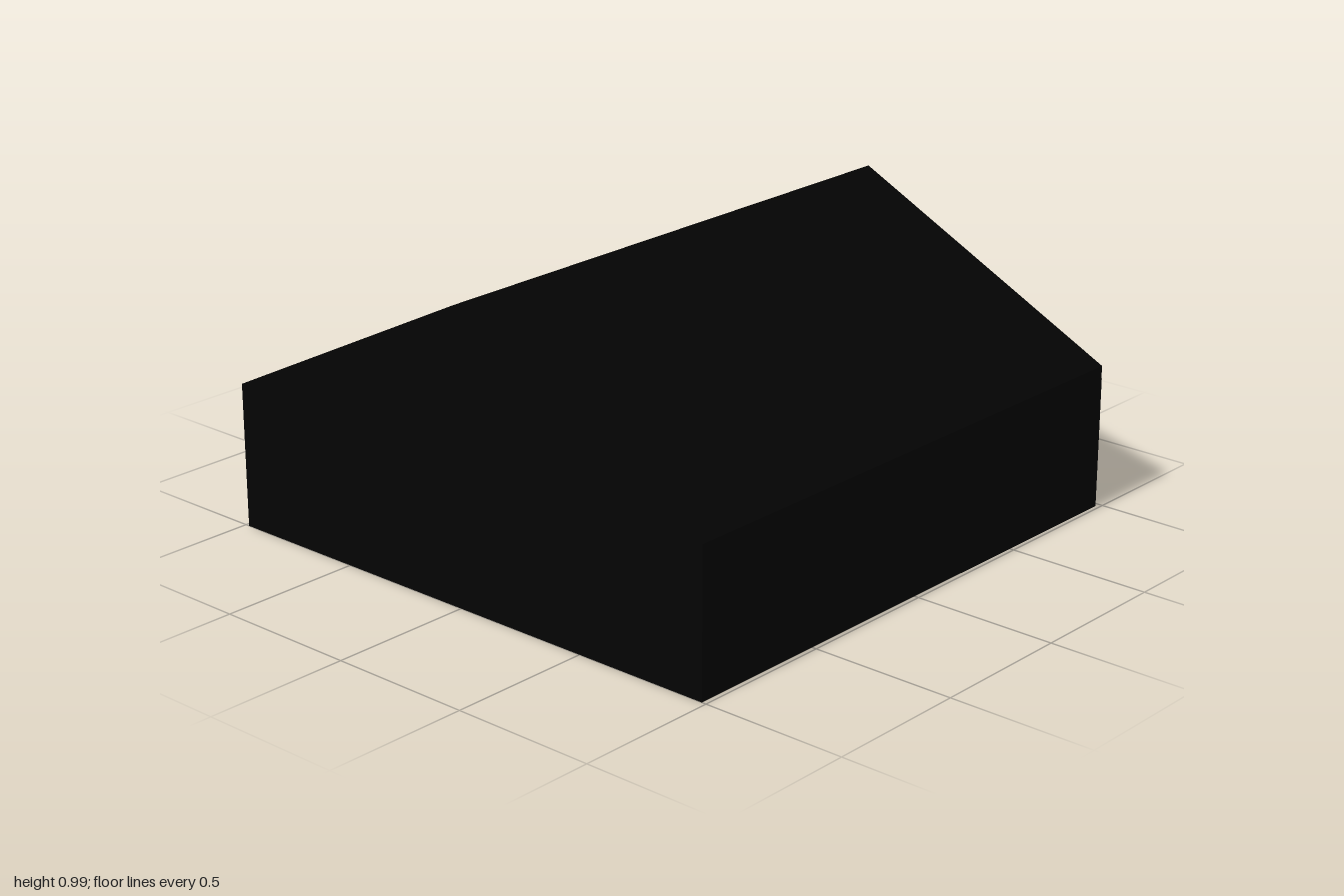
import * as THREE from 'three';

const W = 0.985, EAVE = 0.495, RIDGE = 0.985, FRONT = 1, BACK = -0.98;
const INNER = 0.865; // half width of the inner room

export function createModel() {
  const model = new THREE.Group();
  const canvas = new THREE.MeshStandardMaterial({ color: 0x030303, side: THREE.DoubleSide });
  canvas.name = 'black canvas';

  function add(name, geometry, x = 0, y = 0, z = 0) {
    const mesh = new THREE.Mesh(geometry, canvas);
    mesh.name = name;
    mesh.position.set(x, y, z);
    model.add(mesh);
    return mesh;
  }

  // Outer walls, inner walls and roof slopes, mirrored
  const depth = FRONT - BACK, midZ = (FRONT + BACK) / 2;
  const rise = RIDGE - EAVE, slope = Math.hypot(W, rise);
  for (const s of [1, -1]) {
    const side = s > 0 ? 'left' : 'right';
    const wall = new THREE.PlaneGeometry(depth, EAVE);
    wall.rotateY(s * Math.PI / 2);
    add(side + 'Wall', wall, s * W, EAVE / 2, midZ);
    add(side + 'InnerWall', wall, s * INNER, EAVE / 2, midZ);

    const roof = new THREE.PlaneGeometry(slope, depth);
    roof.rotateX(-Math.PI / 2);
    roof.rotateZ(-s * Math.atan2(rise, W));
    add(side + 'Roof', roof, s * W / 2, (EAVE + RIDGE) / 2, midZ);
  }

  // Closed front wall with gable
  const front = new THREE.Shape();
  front.moveTo(-W, 0);
  front.lineTo(W, 0);
  front.lineTo(W, EAVE);
  front.lineTo(0, RIDGE);
  front.lineTo(-W, EAVE);
  add('frontWall', new THREE.ShapeGeometry(front), 0, 0, FRONT);

  // Back gable with a slightly wavy lower hem
  const gable = new THREE.Shape();
  gable.moveTo(W, EAVE);
  gable.lineTo(0, RIDGE);
  gable.lineTo(-W, EAVE);
  for (let i = 0; i <= 32; i++) {
    const x = -W + 2 * W * i / 32;
    gable.lineTo(x, 0.435 + 0.007 * Math.sin(x * 13) + 0.004 * Math.sin(x * 23 + 1));
  }
  const gableGeometry = new THREE.ShapeGeometry(gable);
  gableGeometry.rotateY(Math.PI);
  add('backGable', gableGeometry, 0, 0, BACK);

  // Curtains gathered at the back corners and middle, kicked out at the ground
  function curtain(name, x0, x1) {
    const width = x1 - x0, height = 0.45;
    const g = new THREE.PlaneGeometry(width, height, 16, 12);
    const p = g.attributes.position;
    for (let i = 0; i < p.count; i++) {
      const u = p.getX(i) / width;
      const drop = 0.5 - p.getY(i) / height;
      const kick = Math.max(0, drop - 0.9) / 0.1;
      const pleat = 0.5 - 0.5 * Math.cos((u + 0.5) * Math.PI * 4);
      p.setZ(i, -0.005 * pleat * drop - 0.013 * kick * pleat);
    }
    g.computeVertexNormals();
    add(name, g, (x0 + x1) / 2, height / 2, BACK - 0.002);
  }
  curtain('leftCornerCurtain', INNER, W);
  curtain('rightCornerCurtain', -W, -INNER);
  curtain('middleCurtain', -0.06, 0.056);

  // Slim inner cross bars below the eaves
  for (const z of [0, FRONT - 0.015]) {
    add('crossBar', new THREE.BoxGeometry(2 * INNER, 0.025, 0.02), 0, 0.435, z);
  }

  return model;
}
